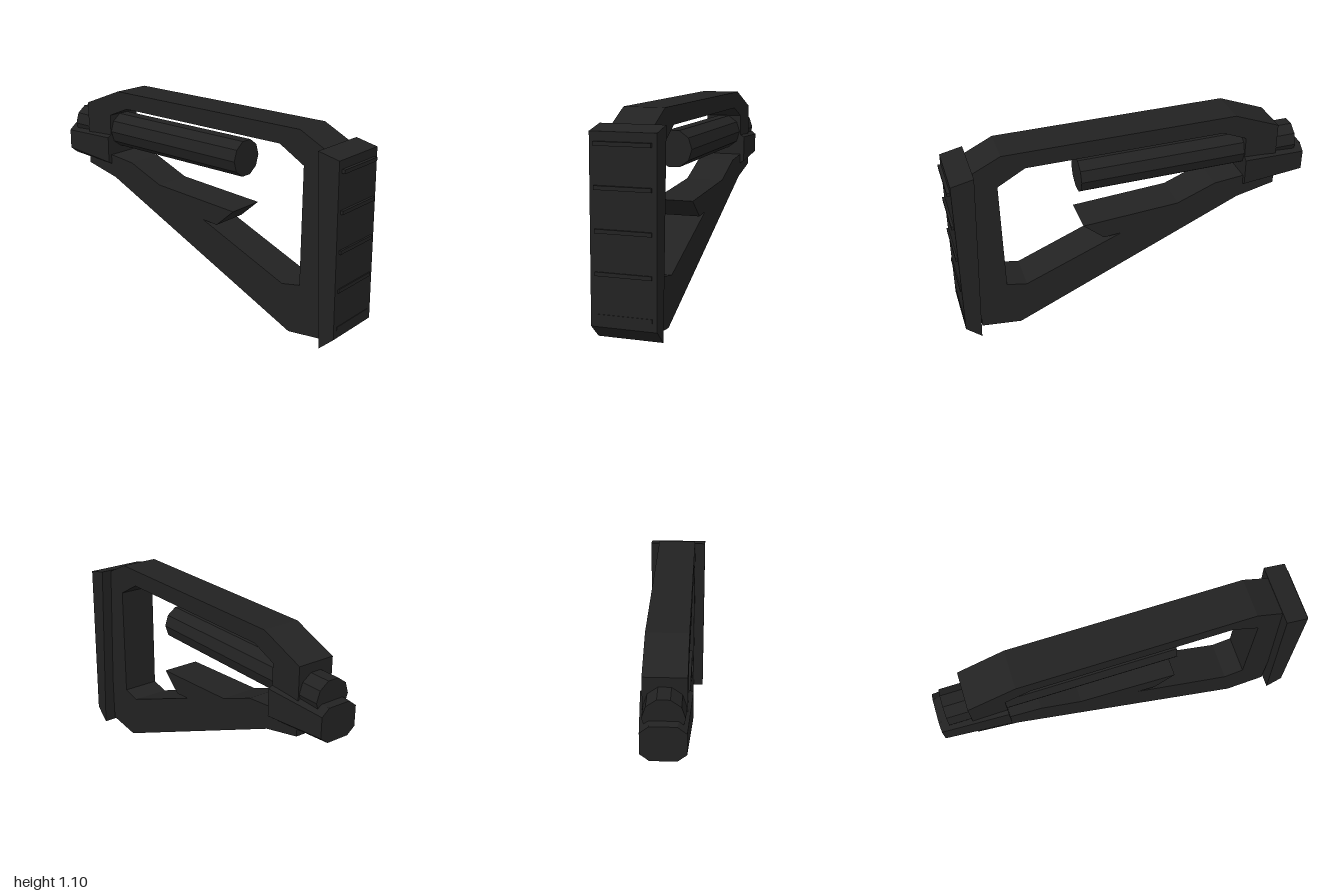
import * as THREE from 'three';
import { ConvexGeometry } from 'three/addons/geometries/ConvexGeometry.js';

const blackPolymer = new THREE.MeshStandardMaterial({ color: 0x222222 });
blackPolymer.name = 'blackPolymer';

const toPoints = (list) => list.map(([a, b]) => new THREE.Vector2(a, b));

// Extrudes a side profile given as [z, y] points, centred across x
function extrudeSide(profile, width, hole) {
  const shape = new THREE.Shape(toPoints(profile));
  if (hole) shape.holes.push(new THREE.Path(toPoints(hole)));
  const geometry = new THREE.ExtrudeGeometry(shape, { depth: width, bevelEnabled: false });
  return geometry.translate(0, 0, -width / 2).rotateY(-Math.PI / 2);
}

// Chamfered rectangle of eight corners at a given z
function octagon(z, y, halfW, halfH, cutX, cutY) {
  const corners = [];
  for (const sx of [-1, 1]) {
    for (const sy of [-1, 1]) {
      corners.push(new THREE.Vector3(sx * halfW, y + sy * (halfH - cutY), z));
      corners.push(new THREE.Vector3(sx * (halfW - cutX), y + sy * halfH, z));
    }
  }
  return corners;
}

export function createModel() {
  const model = new THREE.Group();
  model.name = 'shoulderStock';
  const add = (name, geometry, parent = model) => {
    const mesh = new THREE.Mesh(geometry, blackPolymer);
    mesh.name = name;
    parent.add(mesh);
    return mesh;
  };

  // Open frame with the pointed spur on its lower strut
  add('frame', extrudeSide(
    [[0.9, 0.03], [0.9, 1.01], [0.86, 1.03], [0.71, 1.103], [-0.57, 1.103],
      [-0.83, 1.0], [-0.83, 0.63], [-0.61, 0.58], [0.68, 0.003]],
    0.214,
    [[0.74, 0.285], [0.74, 0.925], [0.59, 1.01], [-0.5, 1.01], [-0.64, 0.952],
      [-0.64, 0.713], [-0.47, 0.697], [-0.25, 0.61], [0.295, 0.578],
      [0.18, 0.475], [0.08, 0.483], [0.63, 0.262]],
  ));

  // Butt pad with raised grip ribs
  const pad = new THREE.Group();
  pad.name = 'buttPad';
  model.add(pad);
  add('padBody', extrudeSide(
    [[0.915, 0.01], [0.998, 0.085], [0.982, 1.01], [0.86, 1.036]], 0.334), pad);
  for (let i = 0; i < 5; i++) {
    const rib = add('gripRib', new THREE.BoxGeometry(0.285, 0.02, 0.03), pad);
    rib.position.set(0, 0.137 + i * 0.2045, 0.985);
  }

  // Ten-sided buffer tube
  const tube = new THREE.CylinderGeometry(0.102, 0.102, 1.245, 10, 1, false, Math.PI / 2)
    .rotateX(Math.PI / 2).toNonIndexed();
  tube.computeVertexNormals();
  add('bufferTube', tube).position.set(0, 0.853, -0.3275);

  // Tapered, chamfered rear socket
  add('rearSocket', new ConvexGeometry([
    ...octagon(-0.64, 0.746, 0.13, 0.1, 0.045, 0.025),
    ...octagon(-1, 0.747, 0.11, 0.092, 0.045, 0.036),
  ]));

  return model;
}
